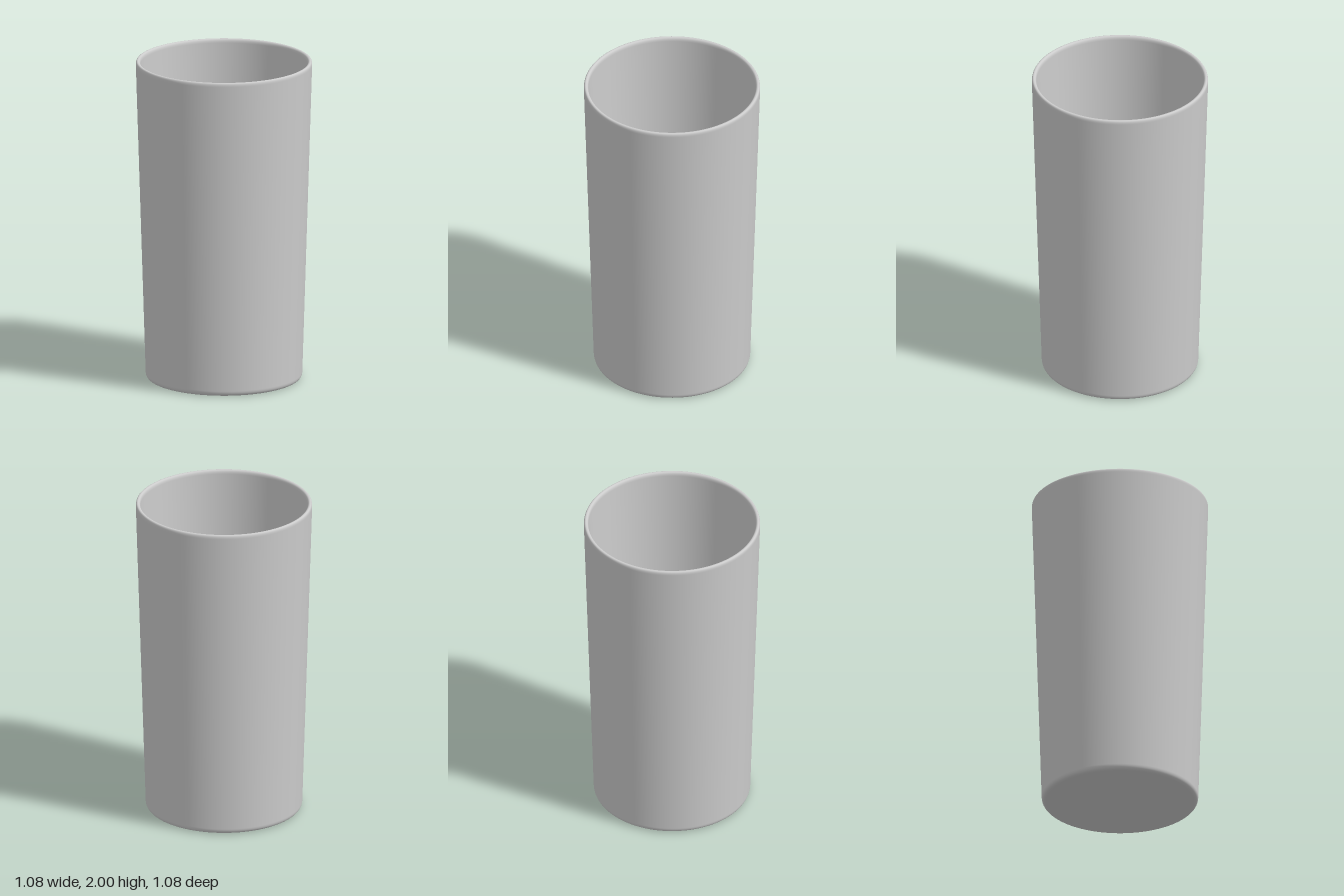
import * as THREE from 'three';

export function createModel() {
  const group = new THREE.Group();
  const material = new THREE.MeshStandardMaterial({ color: 0xcccccc });

  // Closed wall section: underside, outer wall, rounded rim, inner wall, floor
  const section = new THREE.Path();
  section.moveTo(0, 0);
  section.lineTo(0.445, 0);
  section.quadraticCurveTo(0.478, 0, 0.479, 0.035); // outer base fillet
  section.lineTo(0.539, 1.975);
  section.quadraticCurveTo(0.54, 2, 0.527, 2); // rounded rim
  section.quadraticCurveTo(0.512, 2, 0.511, 1.975);
  section.lineTo(0.451, 0.08);
  section.quadraticCurveTo(0.45, 0.045, 0.415, 0.045); // inner floor fillet
  section.lineTo(0, 0.045);

  const tumbler = new THREE.Mesh(new THREE.LatheGeometry(section.getPoints(10), 128), material);
  tumbler.name = 'tumbler';
  group.add(tumbler);
  return group;
}
